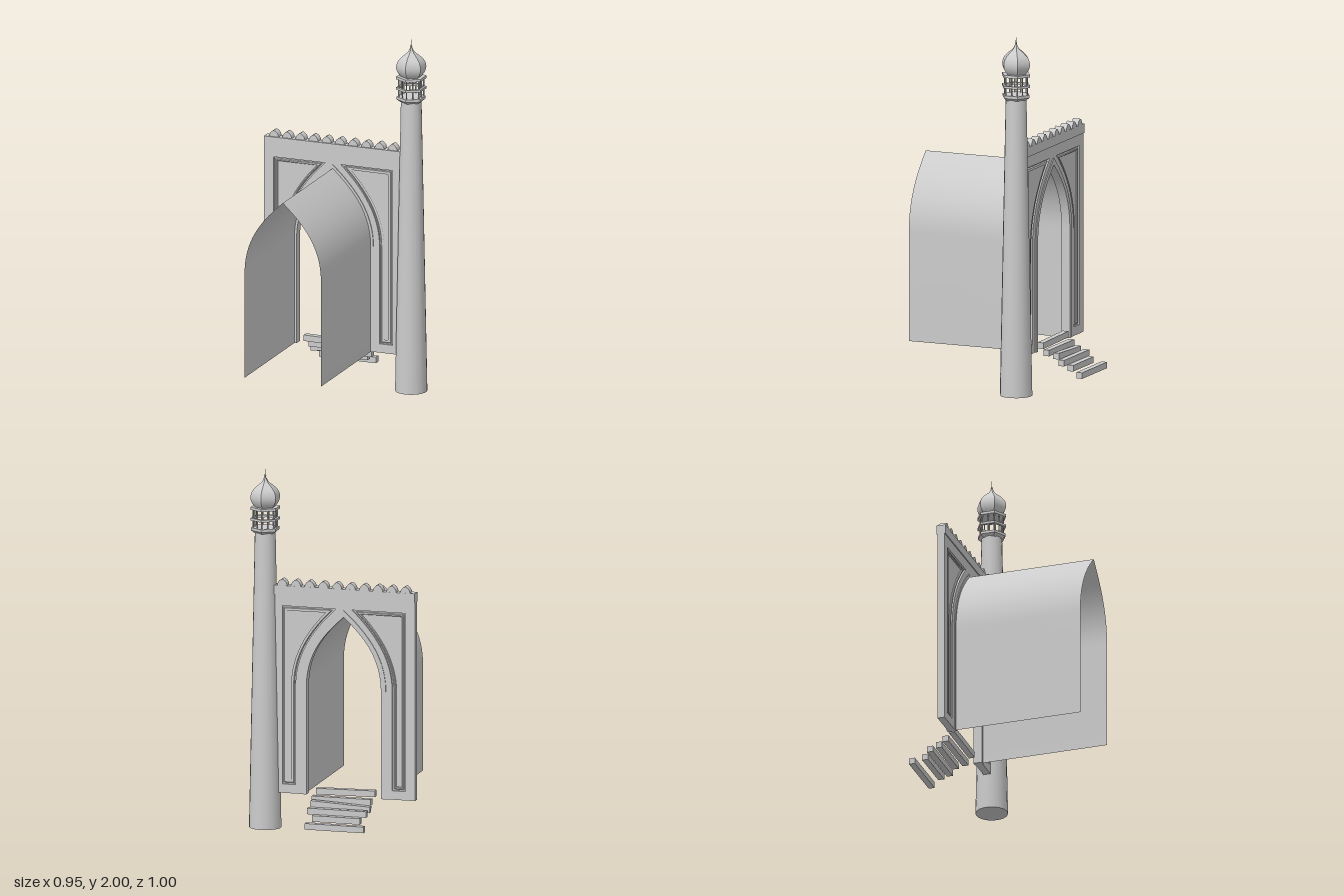
import * as THREE from 'three';
import { toCreasedNormals } from 'three/addons/utils/BufferGeometryUtils.js';

const V = (x, y) => new THREE.Vector2(x, y);
const CX = -0.07;    // centre line of the gateway
const WZ = -0.2425;  // middle of the wall thickness
const BASE = 0.2;    // foot of the gateway

// Right half of the pointed arch offset outward by d, from springing to apex
function archHalf(d, n = 20) {
  return new THREE.CubicBezierCurve(
    V(0.225 + d, 0.8), V(0.225 + d, 1.0 + 0.2 * d),
    V(0.11 + 0.7 * d, 1.12 + 0.74 * d), V(0, 1.22 + 1.35 * d)).getPoints(n);
}

// Whole arch line from the left foot over the apex to the right foot
function archLine(d) {
  const right = [V(0.225 + d, BASE), ...archHalf(d)];
  const left = right.slice(0, -1).map(p => V(-p.x, p.y));
  return [...left, ...right.reverse()];
}

// Spandrel panel outline, inset by i; side is +1 or -1
function panelOutline(i, side) {
  const top = 1.245 - i, bottom = 0.25 + i, outer = 0.35 - i;
  const pts = [V(outer, top), V(outer, bottom), V(0.275 + i, bottom)];
  let prev = null;
  for (const p of archHalf(0.05 + i, 28)) {
    if (p.y >= top) {
      pts.push(prev.clone().lerp(p, (top - prev.y) / (p.y - prev.y)));
      break;
    }
    pts.push(p);
    prev = p;
  }
  return pts.map(p => V(p.x * side, p.y));
}

export function createModel() {
  const model = new THREE.Group();
  const grey = new THREE.MeshStandardMaterial({ color: 0xcccccc });
  const thin = new THREE.MeshStandardMaterial({ color: 0xcccccc, side: THREE.DoubleSide });

  const add = (name, geo, x = 0, y = 0, z = 0, parent = model, mat = grey) => {
    const mesh = new THREE.Mesh(geo, mat);
    mesh.name = name;
    mesh.position.set(x, y, z);
    parent.add(mesh);
    return mesh;
  };
  // Extrusion centred on z = 0, with optional chamfer
  const slab = (outline, depth, holes = [], bevel = 0) => {
    const shape = new THREE.Shape(outline);
    shape.holes = holes.map(h => new THREE.Path(h));
    const geo = new THREE.ExtrudeGeometry(shape, {
      depth: depth - 2 * bevel, bevelEnabled: bevel > 0, bevelSize: bevel,
      bevelThickness: bevel, bevelOffset: -bevel, bevelSegments: 1,
    });
    geo.translate(0, 0, -depth / 2 + bevel);
    return toCreasedNormals(geo, 0.5);
  };

  // Gateway wall with arched opening and two recessed spandrels
  const gate = new THREE.Group();
  gate.name = 'gateway';
  gate.position.set(CX, 0, WZ);
  model.add(gate);
  const wall = [V(-0.405, BASE), ...archLine(0.01), V(0.405, BASE), V(0.405, 1.31), V(-0.405, 1.31)];
  add('wall', slab(wall, 0.04, [panelOutline(0, 1), panelOutline(0, -1)]), 0, 0, 0, gate);
  for (const side of [1, -1]) {
    add('spandrelPanel', slab(panelOutline(-0.002, side), 0.018), 0, 0, 0, gate);
    add('spandrelMoulding', slab(panelOutline(0.008, side), 0.034,
      [panelOutline(0.022, side)], 0.004), 0, 0, 0, gate);
  }
  add('archTrim', slab([...archLine(0.015), ...archLine(-0.013).reverse()], 0.05), 0, 0, 0, gate);

  // Coping and its row of pointed merlons
  add('coping', new THREE.BoxGeometry(0.81, 0.052, 0.051), 0, 1.333, 0, gate);
  const merlon = new THREE.Shape();
  merlon.moveTo(-0.028, 0);
  merlon.bezierCurveTo(-0.028, 0.018, -0.015, 0.032, 0, 0.037);
  merlon.bezierCurveTo(0.015, 0.032, 0.028, 0.018, 0.028, 0);
  const merlonGeo = slab(merlon.getPoints(6), 0.042);
  for (let i = 0; i < 10; i++) {
    add('merlon', merlonGeo, (i - 4.5) * 0.0777, 1.358, -0.004, gate);
  }

  // Thin pointed vault running forward from the gateway
  const line = archLine(0);
  const pos = [], index = [];
  line.forEach((p, i) => {
    pos.push(p.x + CX, p.y, WZ, p.x + CX, p.y, 0.5);
    if (i) {
      const a = 2 * i - 2;
      index.push(a, a + 1, a + 2, a + 1, a + 3, a + 2);
    }
  });
  const vault = new THREE.BufferGeometry();
  vault.setAttribute('position', new THREE.Float32BufferAttribute(pos, 3));
  vault.setIndex(index);
  add('vault', toCreasedNormals(vault, 0.6), 0, 0, 0, model, thin);

  // Minaret: tapered shaft, hexagonal gallery, onion dome and spike
  const tower = new THREE.Group();
  tower.name = 'minaret';
  tower.position.set(0.383, 0, -0.244);
  model.add(tower);
  const lathe = (points, sides) => toCreasedNormals(
    new THREE.LatheGeometry(points.map(p => V(p[0], p[1])), sides), 0.6);
  add('shaft', toCreasedNormals(new THREE.CylinderGeometry(0.057, 0.089, 1.65, 18), 0.6), 0, 0.825, 0, tower);
  add('galleryFloor', lathe([[0, 1.645], [0.06, 1.645], [0.08, 1.66], [0.08, 1.675], [0, 1.675]], 6), 0, 0, 0, tower);
  add('galleryRail', lathe([[0.066, 1.716], [0.083, 1.716], [0.083, 1.729], [0.066, 1.729], [0.066, 1.716]], 6), 0, 0, 0, tower);
  add('galleryRoof', lathe([[0, 1.775], [0.083, 1.775], [0.083, 1.79], [0, 1.79]], 6), 0, 0, 0, tower);
  const post = new THREE.CylinderGeometry(0.004, 0.004, 0.104, 6);
  for (let i = 0; i < 12; i++) {
    const a = i * Math.PI / 6, r = i % 2 ? 0.06 : 0.068;
    add('galleryPost', post, r * Math.sin(a), 1.725, r * Math.cos(a), tower);
  }
  const profile = new THREE.SplineCurve([V(0.058, 1.79), V(0.076, 1.815), V(0.083, 1.845),
    V(0.073, 1.878), V(0.045, 1.907), V(0.02, 1.927), V(0.006, 1.952)]).getPoints(18);
  add('dome', lathe(profile.map(p => [p.x, p.y]), 6), 0, 0, 0, tower);
  add('spike', lathe([[0.006, 1.945], [0.004, 1.955], [0.007, 1.96], [0.003, 1.966], [0, 2]], 6), 0, 0, 0, tower);

  // Loose beams forming steps: x centre, y, z, length, yaw, roll
  const beams = [
    [-0.085, 0.074, -0.487, 0.335, 0, 0],
    [-0.077, 0.106, -0.424, 0.273, 0, 0],
    [-0.07, 0.138, -0.387, 0.335, 0, 0],
    [-0.076, 0.163, -0.343, 0.335, 0.05, 0.06],
    [-0.07, 0.187, -0.297, 0.335, 0, 0],
    [-0.082, 0.225, -0.257, 0.335, 0, -0.015],
  ];
  for (const [x, y, z, length, yaw, roll] of beams) {
    add('stepBeam', new THREE.BoxGeometry(length, 0.034, 0.034), x, y, z).rotation.set(0, yaw, roll);
  }
  return model;
}
